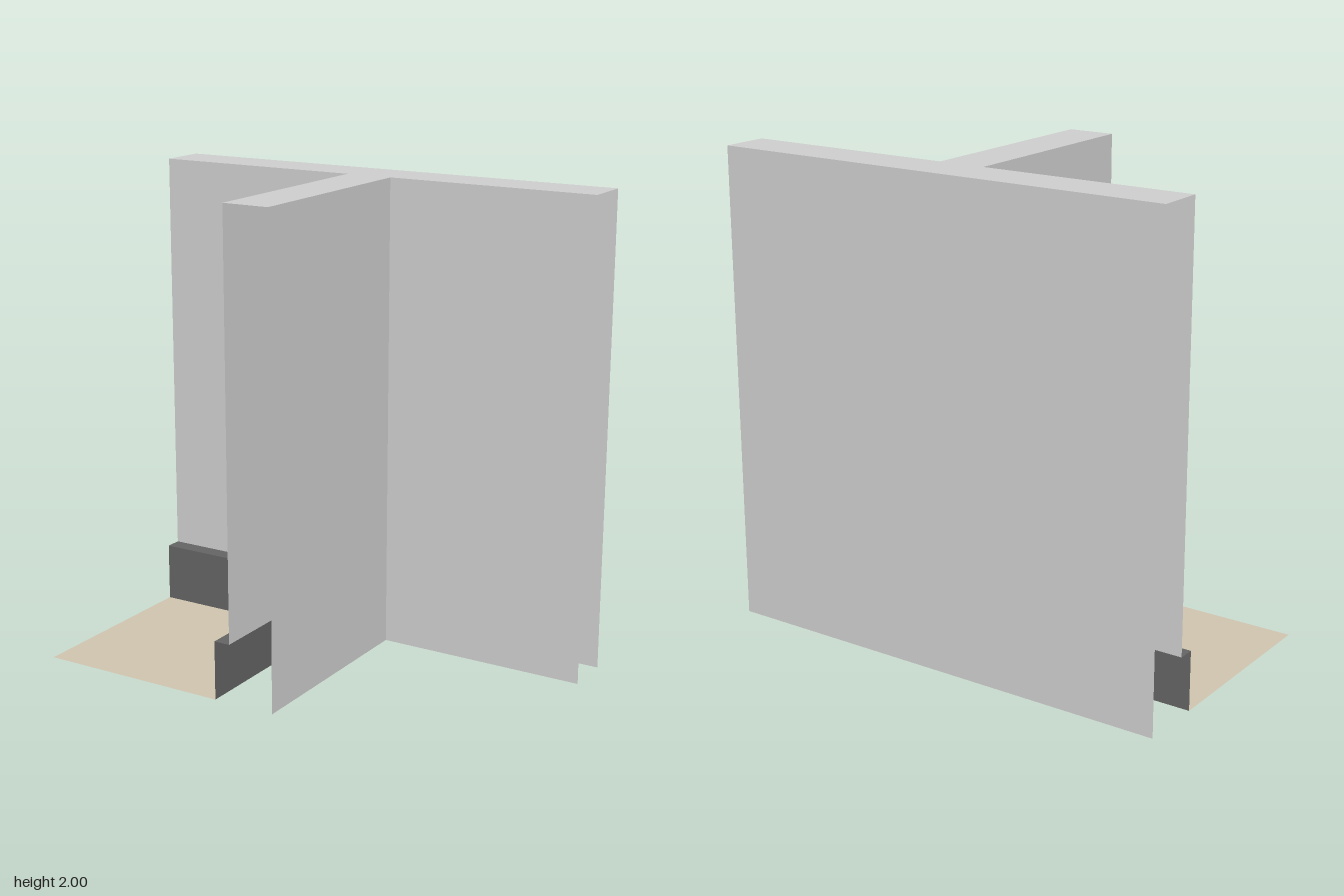
import * as THREE from 'three';

const flat = (name, color) => {
  const m = new THREE.MeshStandardMaterial({ color, side: THREE.DoubleSide });
  m.name = name;
  return m;
};

export function createModel() {
  const wall = flat('wall grey', 0xcccccc);
  const skirting = flat('skirting dark grey', 0x636363);
  const floor = flat('floor beige', 0xcdc3ae);

  // Plan lines: outer edges, wall faces and skirting faces
  const L = -1, R = 1, back = -0.55, front = 0.55;
  const wallZ = -0.35, half = 0.1;
  const skirtX = -0.17, skirtZ = -0.28, skirtH = 0.25, H = 2;

  const model = new THREE.Group();
  model.name = 'wallJunction';

  const add = (name, geometry, material) => {
    const mesh = new THREE.Mesh(geometry, material);
    mesh.name = name;
    model.add(mesh);
  };

  // Upright sheet over a plan line; it faces +z when the line runs along +x
  const upright = (name, material, [x1, z1], [x2, z2], y0, y1) => {
    const dx = x2 - x1, dz = z2 - z1;
    const g = new THREE.PlaneGeometry(Math.hypot(dx, dz), y1 - y0);
    g.rotateY(Math.atan2(-dz, dx));
    g.translate((x1 + x2) / 2, (y0 + y1) / 2, (z1 + z2) / 2);
    add(name, g, material);
  };

  // Level sheet from a plan outline, facing up
  const level = (name, material, outline, y) => {
    const shape = new THREE.Shape(outline.map(([x, z]) => new THREE.Vector2(x, -z)));
    const g = new THREE.ShapeGeometry(shape);
    g.rotateX(-Math.PI / 2);
    g.translate(0, y, 0);
    add(name, g, material);
  };

  // Wall faces, open at the ends and underneath
  upright('backWallRear', wall, [R, back], [L, back], 0, H);
  upright('backWallFrontLeft', wall, [half, wallZ], [R, wallZ], 0, H);
  upright('backWallFrontRight', wall, [L, wallZ], [-half, wallZ], skirtH, H);
  upright('dividerLeftFace', wall, [half, front], [half, wallZ], 0, H);
  upright('dividerRightFace', wall, [-half, wallZ], [-half, front], skirtH, H);

  // T-shaped wall top
  level('wallTop', wall, [
    [L, back], [R, back], [R, wallZ], [half, wallZ],
    [half, front], [-half, front], [-half, wallZ], [L, wallZ],
  ], H);

  // Skirting around the room corner
  upright('skirtingBack', skirting, [L, skirtZ], [skirtX, skirtZ], 0, skirtH);
  upright('skirtingDivider', skirting, [skirtX, skirtZ], [skirtX, front], 0, skirtH);
  level('skirtingTop', skirting, [
    [L, wallZ], [-half, wallZ], [-half, front],
    [skirtX, front], [skirtX, skirtZ], [L, skirtZ],
  ], skirtH);

  // Floor of the room corner
  level('floor', floor, [[L, skirtZ], [skirtX, skirtZ], [skirtX, front], [L, front]], 0);

  return model;
}
